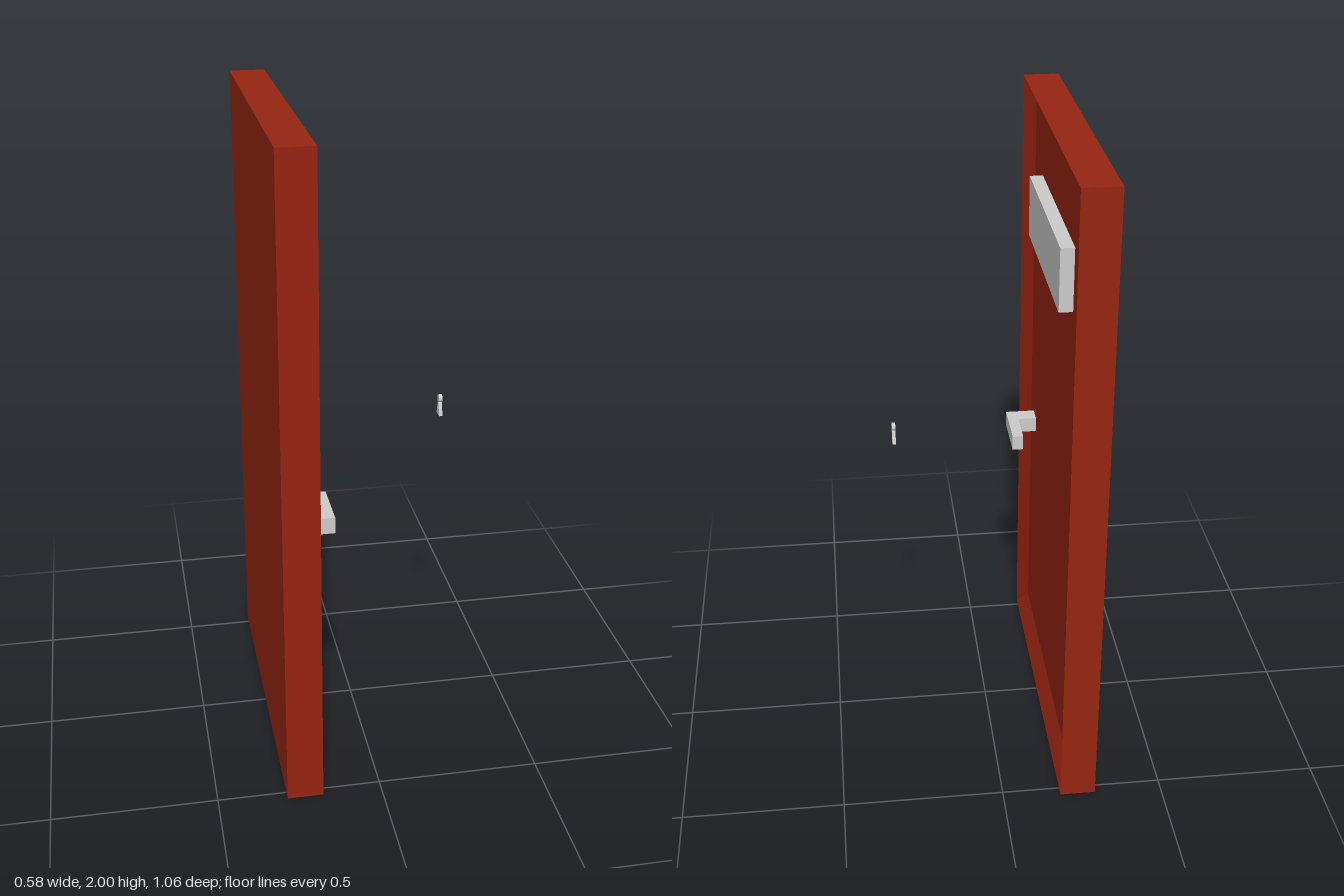
import * as THREE from 'three';

const red = new THREE.MeshStandardMaterial({ color: 0x962411, flatShading: true });
const grey = new THREE.MeshStandardMaterial({ color: 0xcccccc, flatShading: true });

// Flat-sided loft through rectangles facing +x, capped at both ends
function loftRects(rects) {
  const rings = rects.map(({ x, z, y0, y1 }) => [[x, y0, z], [x, y0, -z], [x, y1, -z], [x, y1, z]]);
  const pos = [];
  const quad = (a, b, c, d) => pos.push(...a, ...b, ...c, ...a, ...c, ...d);
  for (let r = 0; r < rings.length - 1; r++) {
    const a = rings[r], b = rings[r + 1];
    for (let i = 0; i < 4; i++) {
      const j = (i + 1) % 4;
      quad(a[i], a[j], b[j], b[i]);
    }
  }
  const first = rings[0], last = rings[rings.length - 1];
  quad(first[3], first[2], first[1], first[0]);
  quad(last[0], last[1], last[2], last[3]);
  const geo = new THREE.BufferGeometry();
  geo.setAttribute('position', new THREE.Float32BufferAttribute(pos, 3));
  geo.computeVertexNormals();
  return geo;
}

function addMesh(group, name, geometry, material) {
  const mesh = new THREE.Mesh(geometry, material);
  mesh.name = name;
  group.add(mesh);
  return mesh;
}

export function createModel() {
  const door = new THREE.Group();
  door.name = 'door';

  // Door leaf: slab whose +x side slopes in from the rim to a recessed panel
  addMesh(door, 'doorLeaf', loftRects([
    { x: -0.29, z: 0.53, y0: 0, y1: 2 },
    { x: -0.18, z: 0.53, y0: 0, y1: 2 },
    { x: -0.212, z: 0.457, y0: 0.075, y1: 1.95 },
  ]), red);

  // Window plate standing on the recessed panel
  addMesh(door, 'windowPlate', new THREE.BoxGeometry(0.042, 0.19, 0.6), grey)
    .position.set(-0.192, 1.655, 0);

  // L-shaped lever handle, drawn from above and extruded upwards
  const lever = new THREE.Shape([
    [-0.212, -0.4], [-0.117, -0.4], [-0.117, -0.225], [-0.152, -0.225], [-0.152, -0.345], [-0.212, -0.345],
  ].map(([x, y]) => new THREE.Vector2(x, y)));
  const leverGeo = new THREE.ExtrudeGeometry(lever, { depth: 0.05, bevelEnabled: false });
  leverGeo.rotateX(-Math.PI / 2);
  addMesh(door, 'handle', leverGeo, grey).position.y = 0.83;

  // Keyhole piece: round head on a flared foot, floating in front of the door
  const keyhole = new THREE.Shape();
  keyhole.moveTo(-0.018, 0);
  keyhole.lineTo(0.018, 0);
  keyhole.lineTo(0.004, 0.042);
  keyhole.absarc(0, 0.054, 0.0125, -1.25, Math.PI + 1.25, false);
  keyhole.lineTo(-0.004, 0.042);
  keyhole.closePath();
  const keyholeGeo = new THREE.ExtrudeGeometry(keyhole, { depth: 0.011, bevelEnabled: false, curveSegments: 10 });
  keyholeGeo.rotateY(Math.PI / 2);
  addMesh(door, 'keyhole', keyholeGeo, grey).position.set(0.279, 1.008, 0.006);

  return door;
}
